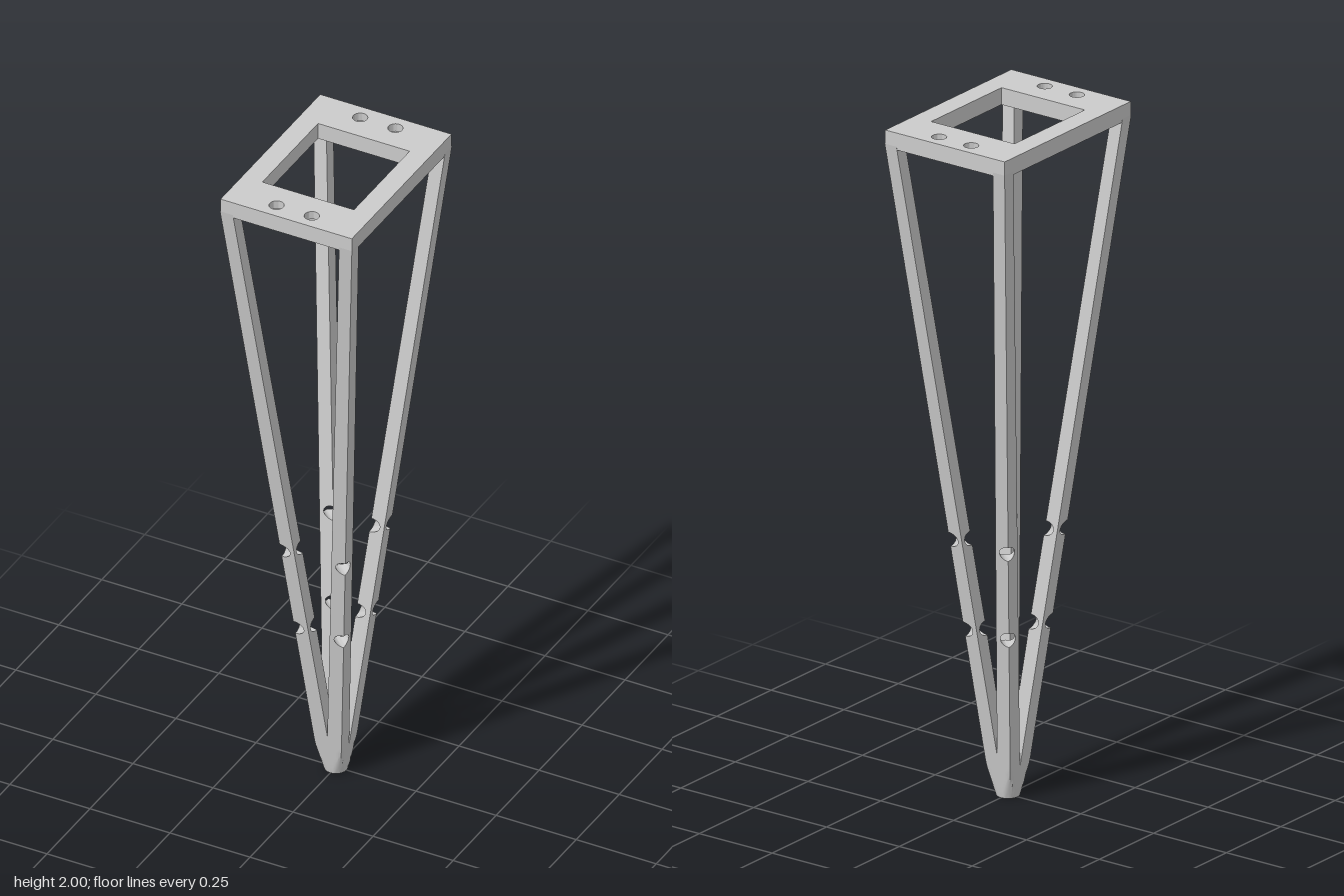
import * as THREE from 'three';
import { toCreasedNormals } from 'three/addons/utils/BufferGeometryUtils.js';

const PLATE_Y = 1.95, BORE = 0.021, N = 8;
const material = new THREE.MeshStandardMaterial({ color: 0xcccccc });
const lerp = THREE.MathUtils.lerp;

// Bounds of one leg (the +x +z one) at height y.
function bounds(y) {
  const t = y / PLATE_Y;
  return { a: lerp(-0.012, 0.165, t), x1: lerp(0.033, 0.205, t), b: lerp(-0.012, 0.25, t), z1: lerp(0.033, 0.29, t) };
}

// Solid leg section: outer edge rounded near the tip, inner corner cut by the central bore.
function solidSection(y) {
  const { a, x1, b, z1 } = bounds(y);
  const x0 = Math.max(0, a), z0 = Math.max(0, b), R = 0.033 + 0.3 * y;
  const outer = [], inner = [];
  const arcStart = Math.asin(Math.min(1, z0 / BORE));
  const arcEnd = Math.acos(Math.min(1, x0 / BORE));
  const cut = Math.hypot(x0, z0) < BORE;
  for (let i = 0; i <= N; i++) {
    const k = i / N;
    const x = k < 0.5 ? x1 : lerp(x1, x0, 2 * k - 1);
    const z = k < 0.5 ? lerp(z0, z1, 2 * k) : z1;
    const s = Math.min(1, R / Math.hypot(x, z));
    outer.push([x * s, y, z * s]);
    const q = lerp(arcStart, arcEnd, k);
    inner.push(cut ? [BORE * Math.cos(q), y, BORE * Math.sin(q)] : [x0, y, z0]);
  }
  return [...outer, ...inner.reverse()];
}

// The two corner slivers left beside a diagonal cross hole.
function sliver(y, h, second) {
  const { a, x1, b, z1 } = bounds(y), s = Math.SQRT2 * h;
  return second
    ? [[a, y, z1], [a, y, b + s], [x1 - s, y, z1]]
    : [[x1, y, b], [x1, y, z1 - s], [a + s, y, b]];
}

function addTri(out, p, q, r) {
  const [A, B, C] = [p, q, r].map(v => new THREE.Vector3(...v));
  if (B.sub(A).cross(C.sub(A)).length() > 1e-9) out.push([p, q, r]);
}

function loft(out, sections) {
  for (let j = 0; j + 1 < sections.length; j++) {
    const lo = sections[j], hi = sections[j + 1];
    for (let i = 0; i < lo.length; i++) {
      const n = (i + 1) % lo.length;
      addTri(out, lo[i], hi[i], lo[n]);
      addTri(out, lo[n], hi[i], hi[n]);
    }
  }
}

function legTriangles() {
  const tris = [], holes = [0.5, 0.77];
  const range = (...ys) => loft(tris, ys.map(solidSection));
  // tip, middle and upper lengths
  range(0, 0.02, 0.04, 0.06, 0.08, 0.09, 0.11, 0.13, 0.15, 0.17, 0.19, 0.21, holes[0] - BORE);
  range(holes[0] + BORE, holes[1] - BORE);
  range(holes[1] + BORE, PLATE_Y + 0.01);
  // diagonal cross holes
  for (const yc of holes) {
    for (const second of [false, true]) {
      const levels = [];
      for (let i = 0; i <= 16; i++) {
        const q = Math.PI * i / 16;
        levels.push(sliver(yc - BORE * Math.cos(q), BORE * Math.sin(q), second));
      }
      loft(tris, levels);
    }
  }
  // underside of the tip
  const s = solidSection(0), last = s.length - 1;
  for (let i = 0; i < N; i++) {
    addTri(tris, s[i], s[i + 1], s[last - i]);
    addTri(tris, s[i + 1], s[last - i - 1], s[last - i]);
  }
  return tris;
}

// Mirrored copy of the leg; an odd number of flips reverses the corners.
function legGeometry(tris, sx, sz) {
  const pos = [];
  for (const [p, q, r] of tris) {
    for (const v of sx * sz > 0 ? [p, q, r] : [p, r, q]) pos.push(v[0] * sx, v[1], v[2] * sz);
  }
  const g = new THREE.BufferGeometry();
  g.setAttribute('position', new THREE.Float32BufferAttribute(pos, 3));
  return toCreasedNormals(g, 0.5);
}

// Rectangular frame layer with a window and four screw holes.
function plateLayer(y0, y1, holeRadius) {
  const rect = (C, x, z) => {
    const p = new C();
    p.moveTo(-x, -z).lineTo(x, -z).lineTo(x, z).lineTo(-x, z).closePath();
    return p;
  };
  const shape = rect(THREE.Shape, 0.205, 0.29);
  shape.holes.push(rect(THREE.Path, 0.143, 0.162));
  for (const x of [-0.055, 0.055]) {
    for (const z of [-0.243, 0.243]) {
      shape.holes.push(new THREE.Path().absarc(x, z, holeRadius, 0, Math.PI * 2, true));
    }
  }
  const g = new THREE.ExtrudeGeometry(shape, { depth: y1 - y0, bevelEnabled: false, curveSegments: 32 });
  g.rotateX(-Math.PI / 2).translate(0, y0, 0);
  return toCreasedNormals(g, 0.5);
}

export function createModel() {
  const model = new THREE.Group();
  model.name = 'taperedStand';
  const add = (name, geometry) => {
    const mesh = new THREE.Mesh(geometry, material);
    mesh.name = name;
    model.add(mesh);
  };
  // top plate: wide counterbores below, narrow holes above
  add('plateLower', plateLayer(PLATE_Y, 1.975, 0.04));
  add('plateUpper', plateLayer(1.975, 2, BORE));
  // four legs meeting in a bored tip
  const tris = legTriangles();
  for (const [sx, side] of [[1, 'Left'], [-1, 'Right']]) {
    for (const [sz, end] of [[1, 'front'], [-1, 'back']]) {
      add(`${end}${side}Leg`, legGeometry(tris, sx, sz));
    }
  }
  return model;
}
